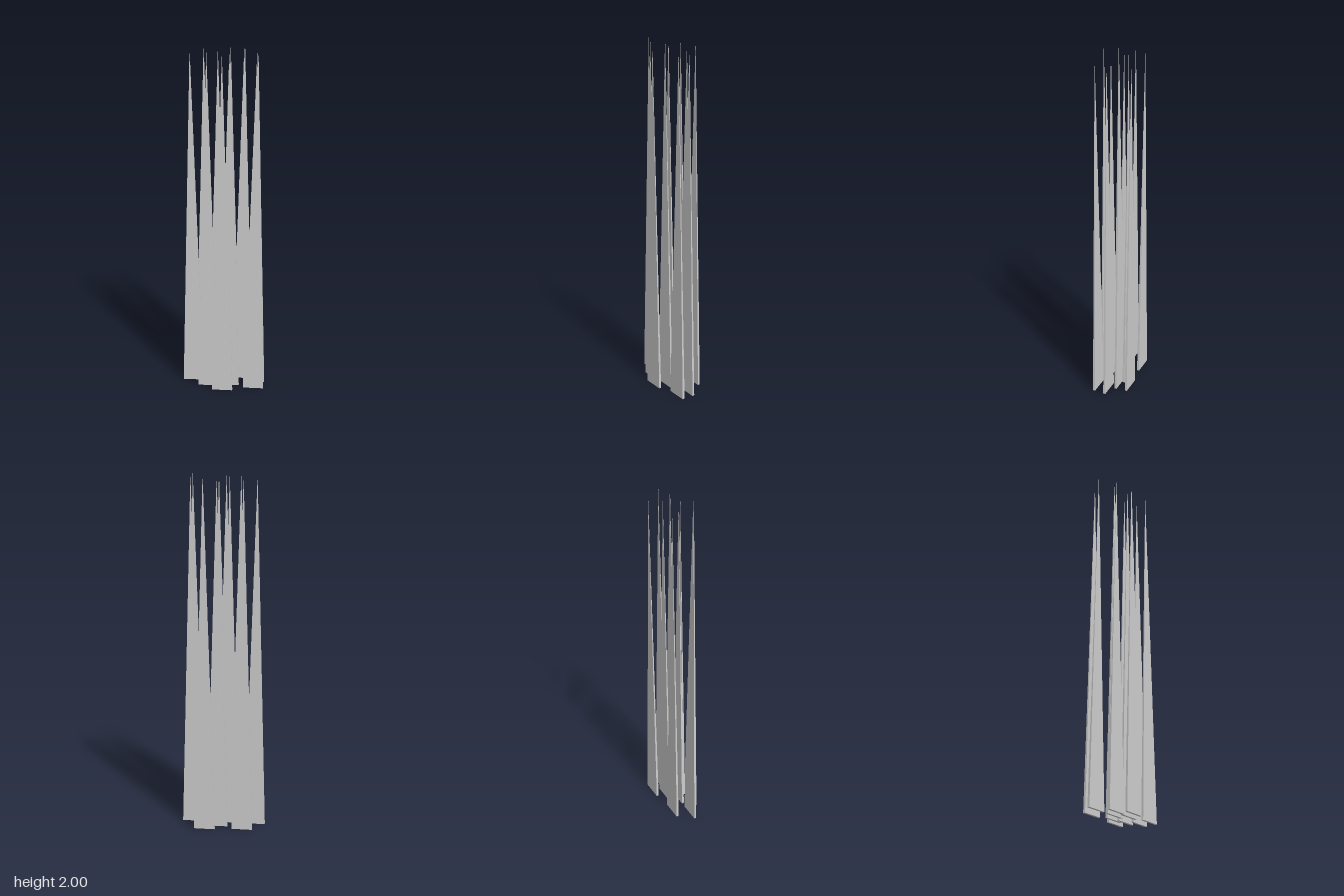
import * as THREE from 'three';

const WIDTH = 0.118, DEPTH = 0.013, HEIGHT = 2;

// Base centre (x, z) of every spike
const SPOTS = [
  [-0.179, -0.001], [-0.114, -0.084], [0.099, -0.102], [0.031, -0.056],
  [0.107, -0.039], [-0.032, -0.001], [0.178, -0.001], [-0.087, 0.055],
  [0.031, 0.044], [-0.003, 0.101], [0.175, 0.066],
];

export function createModel() {
  const group = new THREE.Group();
  group.name = 'spikeCluster';

  const material = new THREE.MeshStandardMaterial({ color: 0xcccccc, flatShading: true });

  // Thin four-sided pyramid with its base on the ground
  const spike = new THREE.ConeGeometry(Math.SQRT1_2, 1, 4)
    .rotateY(Math.PI / 4)
    .translate(0, 0.5, 0)
    .scale(WIDTH, HEIGHT, DEPTH);

  SPOTS.forEach(([x, z], i) => {
    const mesh = new THREE.Mesh(spike, material);
    mesh.name = `spike${i + 1}`;
    mesh.position.set(x, 0, z);
    group.add(mesh);
  });

  return group;
}
